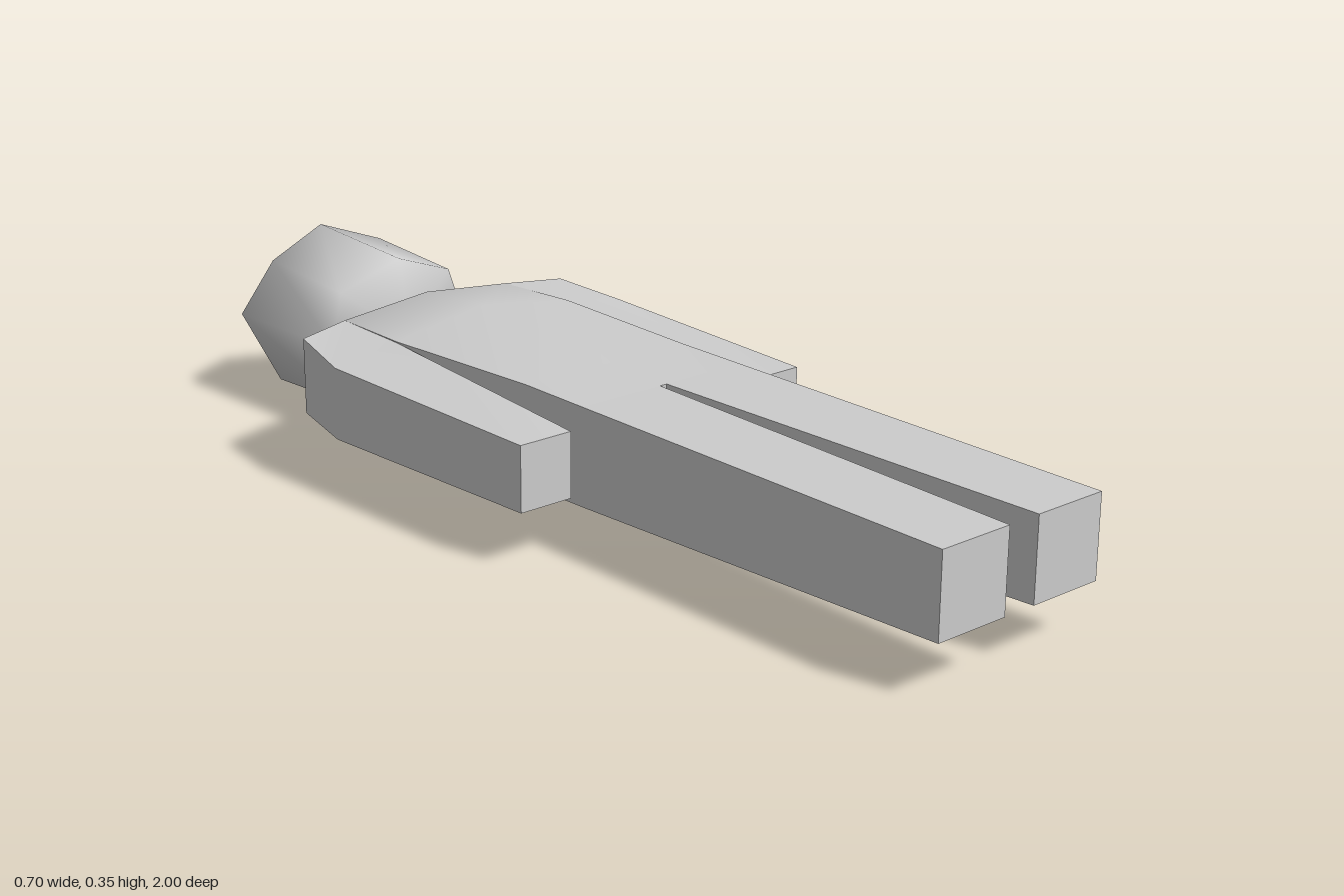
import * as THREE from 'three';
import { toCreasedNormals } from 'three/addons/utils/BufferGeometryUtils.js';

// Skin closed rings (counter-clockwise seen from +z, ordered from +z to -z).
// Each end closes on a fan around its centre, or the given tip.
function loft(rings, crease, startTip, endTip) {
  const n = rings[0].length;
  const centre = (ring) => [0, 1, 2].map((k) => ring.reduce((s, p) => s + p[k], 0) / n);
  const last = rings.length - 1;
  const points = [...rings.flat(), startTip || centre(rings[0]), endTip || centre(rings[last])];
  const start = points.length - 2, end = start + 1, index = [];
  for (let i = 0; i < n; i++) {
    const j = (i + 1) % n;
    for (let r = 0; r < last; r++) {
      const a = r * n + i, b = r * n + j;
      index.push(a, a + n, b, b, a + n, b + n);
    }
    index.push(start, i, j, end, last * n + j, last * n + i);
  }
  const geometry = new THREE.BufferGeometry();
  geometry.setAttribute('position', new THREE.Float32BufferAttribute(points.flat(), 3));
  geometry.setIndex(index);
  return toCreasedNormals(geometry, crease);
}

const mirrorRings = (rings) =>
  rings.map((ring) => ring.map(([x, y, z]) => [-x, y, z]).reverse());

export function createModel() {
  const model = new THREE.Group();
  const material = new THREE.MeshStandardMaterial({ color: 0xcccccc, side: THREE.DoubleSide });
  const add = (name, geometry) => {
    const mesh = new THREE.Mesh(geometry, material);
    mesh.name = name;
    model.add(mesh);
  };

  // Torso and neck: z, half width, chest centre, chest side, back side, back centre
  const torso = [
    [0.16, 0.19, 0.266, 0.266, 0.078, 0.078],
    [0, 0.19, 0.272, 0.268, 0.076, 0.07],
    [-0.36, 0.212, 0.3, 0.268, 0.07, 0.03],
    [-0.545, 0.2, 0.285, 0.265, 0.09, 0.075],
    [-0.575, 0.12, 0.265, 0.255, 0.1, 0.09],
    [-0.635, 0.08, 0.24, 0.235, 0.125, 0.12],
  ].map(([z, w, tc, ts, bs, bc]) => [
    [w, bs, z], [w, ts, z], [0, tc, z], [-w, ts, z], [-w, bs, z], [0, bc, z],
  ]);
  add('torso', loft(torso, 0.6));

  // Limb sections: inner x, outer x, then low/high y and z for the inner and outer sides
  const section = ([xi, xo, li, hi, lo, ho, zi, zo]) => [
    [xi, li, zi], [xo, lo, zo], [xo, ho, zo], [xi, hi, zi],
  ];
  const leg = [
    [0.035, 0.19, 0.1, 0.256, 0.1, 0.256, 1, 1],
    [0.008, 0.19, 0.078, 0.266, 0.078, 0.266, 0.16, 0.16],
  ].map(section);
  const arm = [
    [0.222, 0.335, 0.105, 0.23, 0.105, 0.23, 0.165, 0.165],
    [0.212, 0.35, 0.09, 0.266, 0.102, 0.243, -0.36, -0.365],
    [0.2, 0.32, 0.09, 0.265, 0.11, 0.26, -0.545, -0.512],
  ].map(section);
  add('leftLeg', loft(leg, 0.6));
  add('rightLeg', loft(mirrorRings(leg), 0.6));
  add('leftArm', loft(arm, 0.6));
  add('rightArm', loft(mirrorRings(arm), 0.6));

  // Head: a rounded block with eight sides, softly shaded
  const headRing = (w, c, top, high, low, bottom, zTop, zHigh, zSide, zLow, zBottom) => [
    [0, bottom, zBottom], [c, low, zLow], [w, 0.18, zSide], [c, high, zHigh],
    [0, top, zTop], [-c, high, zHigh], [-w, 0.18, zSide], [-c, low, zLow],
  ];
  const head = [
    headRing(0.165, 0.135, 0.335, 0.285, 0.055, 0.008, -0.635, -0.65, -0.638, -0.65, -0.63),
    headRing(0.175, 0.135, 0.352, 0.302, 0.047, 0.002, -0.91, -0.89, -0.955, -0.88, -0.9),
  ];
  add('head', loft(head, Math.PI, [0, 0.18, -0.6], [0, 0.18, -1]));

  return model;
}
